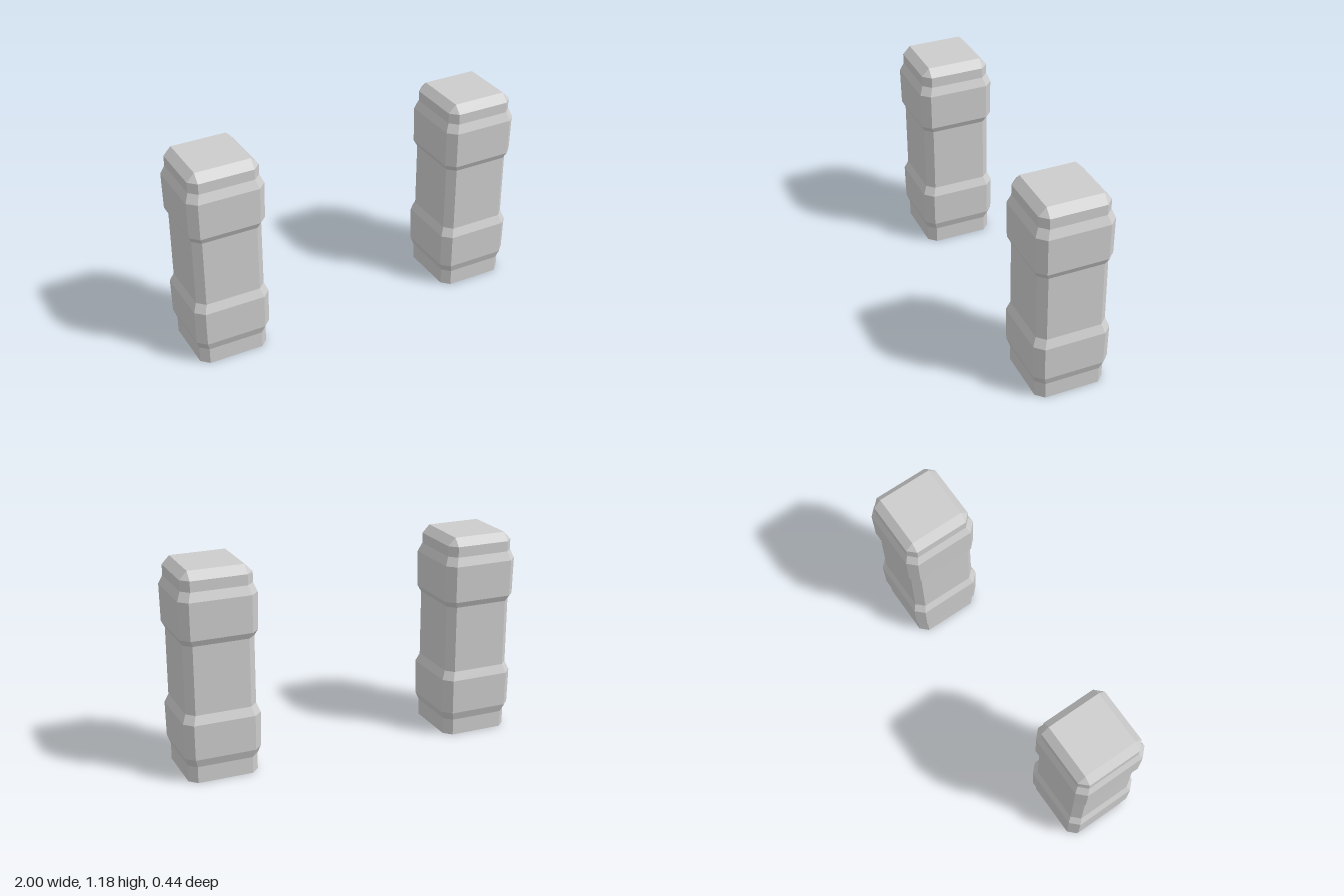
import * as THREE from 'three';

// Profile levels: height, half width, half width of the flat between corner chamfers
const LEVELS = [
  [0, 0.2, 0.157], [0.095, 0.2, 0.157],
  [0.143, 0.217, 0.171], [0.345, 0.22, 0.173], // lower band
  [0.395, 0.2, 0.157], [0.785, 0.2, 0.157],
  [0.82, 0.217, 0.171], [1.03, 0.22, 0.173], // upper band
  [1.08, 0.2, 0.157], [1.14, 0.2, 0.157],
  [1.185, 0.157, 0.157], // bevelled top, corners meet in points
];

// Chamfered square, anticlockwise seen from +z towards +x
function ring([y, w, f]) {
  return [[f, w], [w, f], [w, -f], [f, -w], [-f, -w], [-w, -f], [-w, f], [-f, w]]
    .map(([x, z]) => [x, y, z]);
}

function postGeometry() {
  const rings = LEVELS.map(ring);
  const pos = [];
  const tri = (a, b, c) => pos.push(...a, ...b, ...c);
  // Side walls
  for (let i = 0; i < rings.length - 1; i++) {
    for (let j = 0; j < 8; j++) {
      const k = (j + 1) % 8;
      const a = rings[i][j], b = rings[i][k], c = rings[i + 1][k], d = rings[i + 1][j];
      tri(a, b, c);
      if (c.some((v, n) => v !== d[n])) tri(a, c, d);
    }
  }
  // End caps
  const bottom = rings[0];
  for (let j = 1; j < 7; j++) tri(bottom[0], bottom[j + 1], bottom[j]);
  const top = rings[rings.length - 1];
  tri(top[0], top[2], top[4]);
  tri(top[0], top[4], top[6]);
  const geometry = new THREE.BufferGeometry();
  geometry.setAttribute('position', new THREE.Float32BufferAttribute(pos, 3));
  geometry.computeVertexNormals();
  return geometry;
}

export function createModel() {
  const model = new THREE.Group();
  model.name = 'pairOfPosts';
  const grey = new THREE.MeshStandardMaterial({ color: 0xcccccc });
  grey.name = 'lightGrey';
  const geometry = postGeometry();
  for (const [name, x] of [['leftPost', 0.78], ['rightPost', -0.78]]) {
    const post = new THREE.Mesh(geometry, grey);
    post.name = name;
    post.position.x = x;
    model.add(post);
  }
  return model;
}
